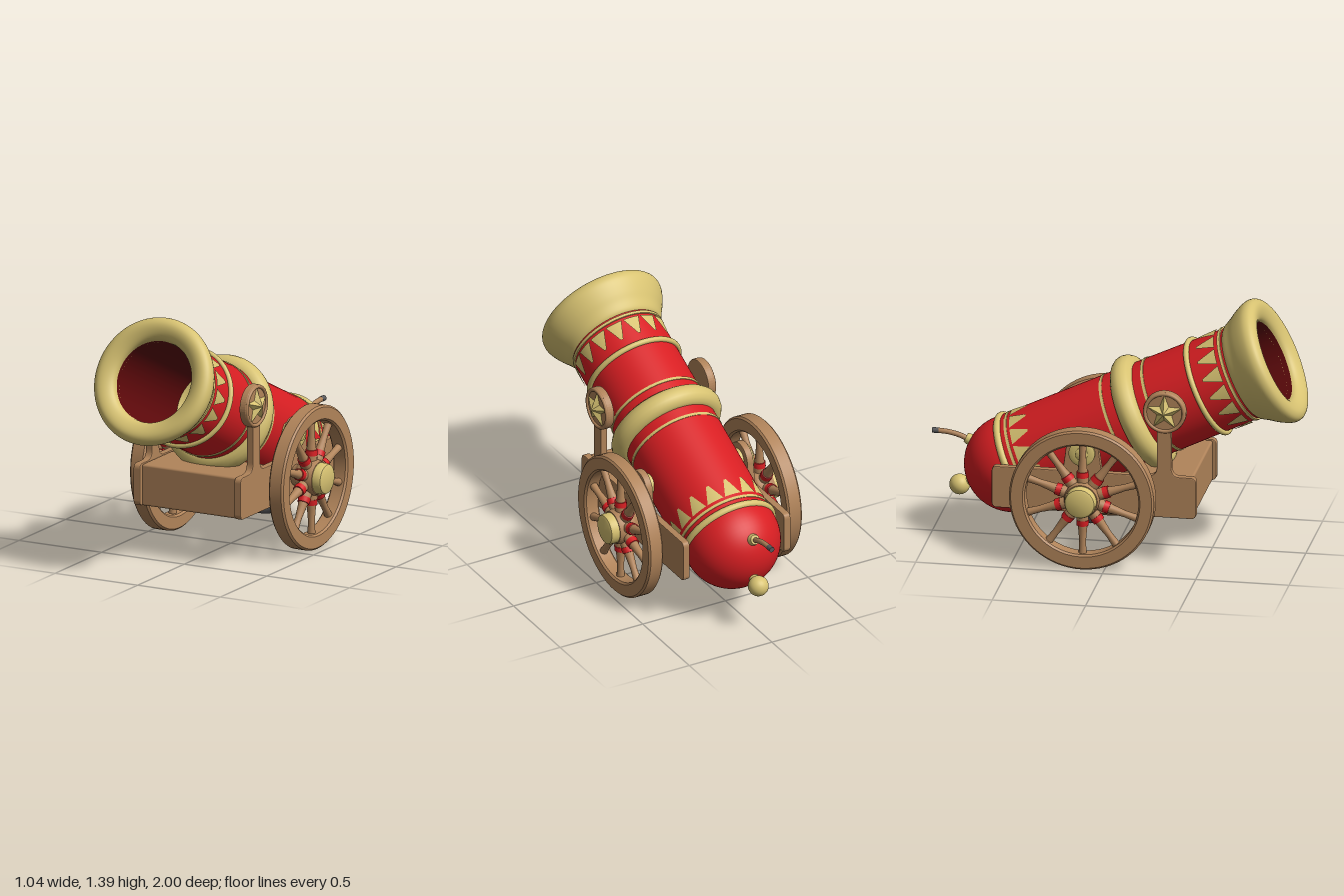
import * as THREE from 'three';
import { mergeGeometries, toCreasedNormals } from 'three/addons/utils/BufferGeometryUtils.js';
import { RoundedBoxGeometry } from 'three/addons/geometries/RoundedBoxGeometry.js';

const paint = (name, color) => Object.assign(new THREE.MeshStandardMaterial({ color }), { name });
const V = (x, y, z) => new THREE.Vector3(x, y, z);

export function createModel() {
  const red = paint('red', 0xd81e22);
  const bore = paint('boreRed', 0x5e090b);
  const gold = paint('gold', 0xd8c372);
  const wood = paint('wood', 0xb1845a);
  const iron = paint('iron', 0x58585a);

  const model = new THREE.Group();
  model.name = 'cannon';

  const add = (parent, name, geometry, material, x = 0, y = 0, z = 0) => {
    const mesh = new THREE.Mesh(geometry, material);
    mesh.name = name;
    mesh.position.set(x, y, z);
    parent.add(mesh);
    return mesh;
  };
  // profile points are [radius, height]
  const lathe = (pts, seg = 64) => new THREE.LatheGeometry(pts.map(p => new THREE.Vector2(...p)), seg);
  const hardLathe = (pts, seg = 64) => toCreasedNormals(lathe(pts, seg), 0.6);
  const sideways = g => g.rotateZ(-Math.PI / 2); // height axis becomes +x

  // ---- Barrel: local y runs from the rear dome to the muzzle ----
  const R = 0.26;
  const barrel = new THREE.Group();
  barrel.name = 'barrel';
  barrel.position.set(0, 0.41, -0.567);
  barrel.rotation.x = THREE.MathUtils.degToRad(90 - 25.5);
  model.add(barrel);

  const body = [];
  for (let i = 0; i <= 16; i++) {
    const a = (i / 16) * Math.PI / 2;
    body.push([R * Math.sin(a), -R * Math.cos(a)]);
  }
  body.push([R, 0.7], [0.255, 1.4]);
  add(barrel, 'barrelBody', lathe(body), red);

  const flare = new THREE.SplineCurve([
    [0.25, 1.365], [0.268, 1.38], [0.29, 1.42], [0.315, 1.46], [0.337, 1.505], [0.346, 1.54],
    [0.338, 1.57], [0.312, 1.588], [0.28, 1.588], [0.245, 1.573], [0.225, 1.55], [0.22, 1.51],
  ].map(p => new THREE.Vector2(...p)));
  add(barrel, 'muzzleFlare', new THREE.LatheGeometry(flare.getPoints(44), 72), gold);
  add(barrel, 'bore', hardLathe([[0.22, 1.54], [0.22, 0.4], [0, 0.4]]), bore);

  // Raised rings
  for (const [name, s, radius, tube] of [
    ['mainRing', 0.775, 0.254, 0.063], ['neckRing', 1.16, 0.262, 0.015], ['rearRing', 0.035, 0.256, 0.02],
  ]) {
    add(barrel, name, new THREE.TorusGeometry(radius, tube, 16, 72).rotateX(Math.PI / 2), gold, 0, s, 0);
  }
  // Thin painted stripes
  for (const s of [0.085, 0.65, 0.895, 1.35]) {
    add(barrel, 'stripe', hardLathe([
      [0.25, s - 0.008], [0.263, s - 0.008], [0.263, s + 0.008], [0.25, s + 0.008],
    ]), gold);
  }
  // Painted teeth wrapped around the barrel; dir is the way they point
  const teeth = (name, base, length, dir) => {
    const n = 16, parts = [];
    for (let i = 0; i < n; i++) {
      const g = new THREE.PlaneGeometry(1, 1, 6, 4);
      const p = g.attributes.position;
      for (let j = 0; j < p.count; j++) {
        const v = p.getY(j) + 0.5;
        const a = (i + p.getX(j) * dir * 0.9 * (1 - 0.85 * v)) * 2 * Math.PI / n;
        p.setXYZ(j, 0.264 * Math.sin(a), base + dir * v * length, 0.264 * Math.cos(a));
      }
      g.computeVertexNormals();
      parts.push(g);
    }
    add(barrel, name, mergeGeometries(parts), gold);
  };
  teeth('rearTeeth', 0.11, 0.1, 1);
  teeth('frontTeeth', 1.325, 0.105, -1);

  // Rear knob
  add(barrel, 'knobNeck', new THREE.CylinderGeometry(0.025, 0.025, 0.08, 20), gold, 0, -0.27, 0);
  add(barrel, 'knob', new THREE.SphereGeometry(0.055, 28, 20), gold, 0, -0.318, 0);

  // ---- Fuse ----
  const tube = (pts, r, seg = 24) => new THREE.TubeGeometry(new THREE.CatmullRomCurve3(pts), seg, r, 12);
  const socket = add(model, 'fuseSocket', new THREE.CylinderGeometry(0.026, 0.034, 0.035, 20), gold, 0, 0.53, -0.805);
  socket.rotation.x = -1.1;
  add(model, 'fuse', tube([V(0, 0.52, -0.79), V(0, 0.547, -0.85), V(0, 0.562, -0.91), V(0, 0.567, -0.968)], 0.014), wood);
  const tip = add(model, 'fuseTip', new THREE.CylinderGeometry(0.015, 0.015, 0.035, 12), iron, 0, 0.567, -0.983);
  tip.rotation.x = Math.PI / 2;

  // ---- Carriage ----
  const plate = new THREE.Shape();
  plate.moveTo(-0.6, 0.28);
  plate.lineTo(0.44, 0.28);
  plate.quadraticCurveTo(0.465, 0.28, 0.465, 0.305);
  plate.lineTo(0.465, 0.475);
  plate.quadraticCurveTo(0.465, 0.5, 0.44, 0.5);
  plate.lineTo(0.385, 0.5);
  plate.quadraticCurveTo(0.332, 0.5, 0.332, 0.56);
  plate.lineTo(0.332, 0.76);
  plate.absarc(0.3, 0.863, 0.11, -1.25, Math.PI + 1.25, false);
  plate.lineTo(0.265, 0.56);
  plate.quadraticCurveTo(0.265, 0.5, 0.21, 0.5);
  plate.lineTo(-0.04, 0.5);
  plate.absarc(-0.14, 0.61, 0.085, 0, Math.PI, false);
  plate.lineTo(-0.24, 0.5);
  plate.lineTo(-0.6, 0.5);
  plate.quadraticCurveTo(-0.62, 0.5, -0.62, 0.475);
  plate.lineTo(-0.62, 0.305);
  plate.quadraticCurveTo(-0.62, 0.28, -0.6, 0.28);
  const plateGeo = new THREE.ExtrudeGeometry(plate, {
    depth: 0.03, bevelEnabled: true, bevelSize: 0.005, bevelThickness: 0.005, bevelSegments: 2, curveSegments: 24,
  }).translate(0, 0, -0.015).rotateY(-Math.PI / 2);

  add(model, 'frontBoard', new RoundedBoxGeometry(0.575, 0.225, 0.32, 2, 0.012), wood, 0, 0.388, 0.29);

  // Cranked axle dipping under the barrel
  add(model, 'axle', tube([
    V(-0.34, 0.39, -0.12), V(-0.25, 0.38, -0.12), V(-0.22, 0.32, -0.12), V(-0.212, 0.23, -0.12), V(-0.17, 0.183, -0.12),
    V(0, 0.182, -0.12),
    V(0.17, 0.183, -0.12), V(0.212, 0.23, -0.12), V(0.22, 0.32, -0.12), V(0.25, 0.38, -0.12), V(0.34, 0.39, -0.12),
  ], 0.021, 80), iron);

  // Five-pointed faceted star from a cone with alternating radii
  const star = () => {
    const g = new THREE.CylinderGeometry(0, 0.105, 0.04, 10, 1, true, -Math.PI / 2);
    const p = g.attributes.position;
    for (let i = 0; i < p.count; i++) {
      if (p.getY(i) < 0 && (i % 11) % 2) p.setXYZ(i, p.getX(i) * 0.42, p.getY(i), p.getZ(i) * 0.42);
    }
    const flat = g.toNonIndexed();
    flat.computeVertexNormals();
    return sideways(flat);
  };

  // Wheel pieces, built facing +x around the hub
  const rimGeo = sideways(hardLathe([
    [0.305, -0.034], [0.315, -0.044], [0.378, -0.044], [0.388, -0.034], [0.388, 0.034], [0.378, 0.044],
    [0.315, 0.044], [0.305, 0.034], [0.305, -0.034],
  ], 72));
  const hubGeo = sideways(hardLathe([
    [0, -0.1], [0.055, -0.1], [0.06, -0.08], [0.075, -0.06], [0.09, -0.045], [0.095, -0.02],
    [0.095, 0.03], [0.088, 0.05], [0, 0.05],
  ], 40));
  const capGeo = sideways(hardLathe([
    [0.07, 0.04], [0.083, 0.045], [0.083, 0.085], [0.078, 0.096], [0.066, 0.102], [0, 0.102],
  ], 40));
  const spokeGeo = lathe([[0.03, 0.07], [0.032, 0.12], [0.024, 0.17], [0.018, 0.24], [0.022, 0.32]], 14);
  const bandGeo = hardLathe([[0.02, 0.118], [0.034, 0.12], [0.032, 0.15], [0.02, 0.152]], 16);

  for (const s of [1, -1]) {
    const label = s > 0 ? 'left' : 'right';
    const group = (name, x, y, z) => {
      const g = new THREE.Group();
      g.name = label + name;
      g.position.set(s * x, y, z);
      g.rotation.y = s > 0 ? 0 : Math.PI;
      model.add(g);
      return g;
    };

    add(model, label + 'SidePlate', plateGeo, wood, s * 0.305);

    // Star badge on the upright arm
    const badge = group('Badge', 0.325, 0.863, 0.3);
    add(badge, 'badgeRim', new THREE.TorusGeometry(0.104, 0.01, 10, 48).rotateY(Math.PI / 2), wood);
    add(badge, 'star', star(), gold, 0.018);

    // Trunnion joining barrel and plate
    const trunnion = group('Trunnion', 0.325, 0.61, -0.14);
    add(trunnion, 'trunnionCap', sideways(hardLathe([
      [0.055, -0.1], [0.055, -0.002], [0.07, 0], [0.07, 0.014], [0.06, 0.02], [0.034, 0.02], [0.034, 0.028], [0.026, 0.033], [0, 0.033],
    ], 36)), gold);

    const wheel = group('Wheel', 0.42, 0.392, -0.12);
    add(wheel, 'wheelRim', rimGeo, wood);
    add(wheel, 'hub', hubGeo, wood);
    add(wheel, 'hubCap', capGeo, gold);
    for (let i = 0; i < 10; i++) {
      const a = i * Math.PI / 5;
      add(wheel, 'spoke', spokeGeo, wood).rotation.x = a;
      add(wheel, 'spokeBand', bandGeo, red).rotation.x = a;
    }
  }
  return model;
}
